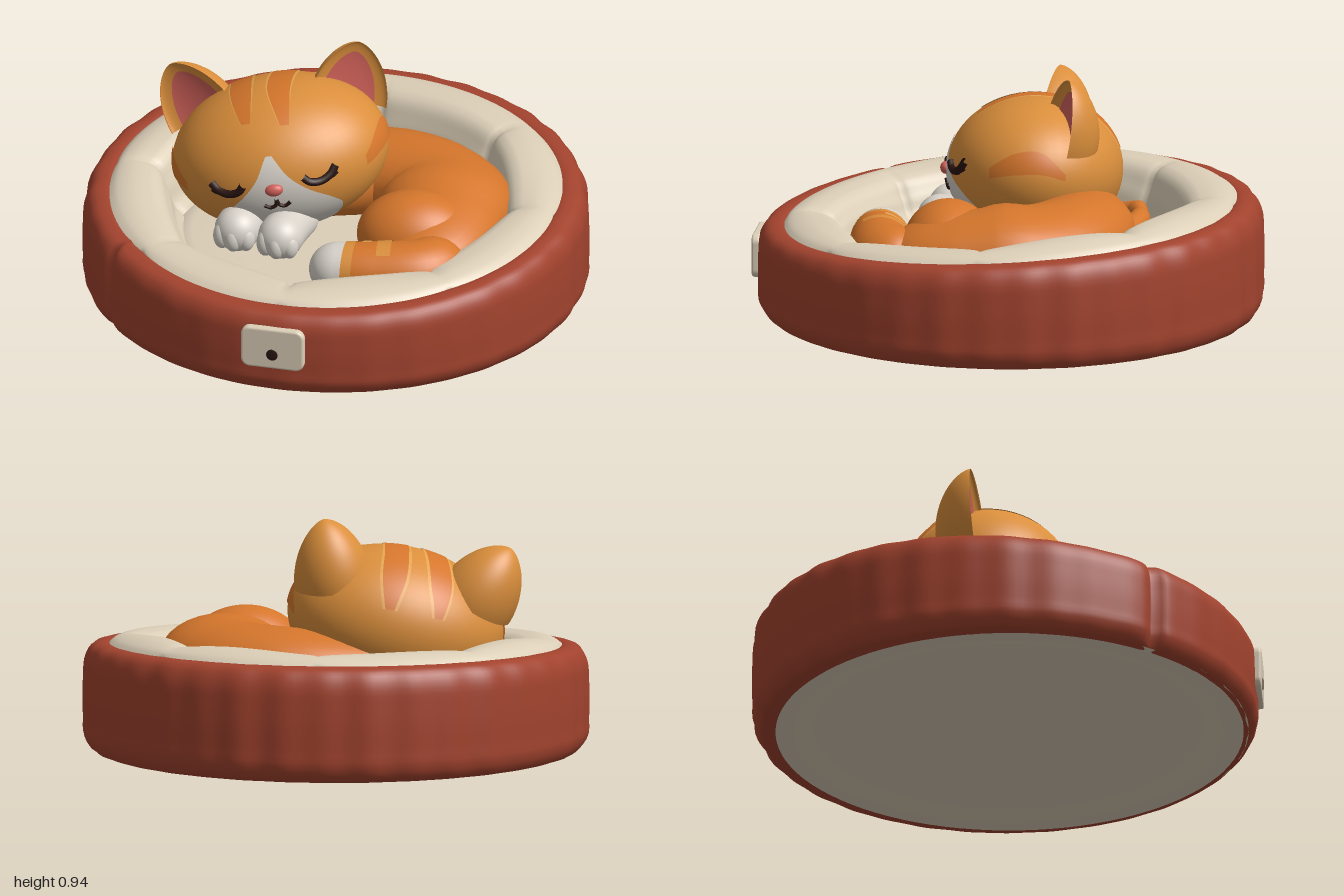
import * as THREE from 'three';

const V = (x, y, z) => new THREE.Vector3(x, y, z);
const mat = (name, color) => new THREE.MeshStandardMaterial({ name, color, side: THREE.DoubleSide });

// Smooth surface fn(u, v) -> Vector3; wrap closes it in u
function grid(fn, nu, nv, wrap = false) {
  const pos = [], idx = [], cols = wrap ? nu : nu + 1;
  for (let j = 0; j <= nv; j++)
    for (let i = 0; i < cols; i++) pos.push(...fn(i / nu, j / nv).toArray());
  for (let j = 0; j < nv; j++)
    for (let i = 0; i < nu; i++) {
      const a = j * cols + i, b = j * cols + (i + 1) % cols;
      idx.push(a, a + cols, b, b, a + cols, b + cols);
    }
  const g = new THREE.BufferGeometry();
  g.setAttribute('position', new THREE.Float32BufferAttribute(pos, 3));
  g.setIndex(idx);
  g.computeVertexNormals();
  return g;
}

// Rounded limb along [x, y, z, halfWidth, halfHeight] points; t and angle ranges cut pieces out of it
function limb(pts, { t0 = 0, t1 = 1, a0 = 0, a1 = 1, grow = 1 } = {}) {
  const curve = new THREE.CatmullRomCurve3(pts.map(p => V(p[0], p[1], p[2])));
  const size = new THREE.CatmullRomCurve3(pts.map(p => V(p[3], p[4], 0)));
  const len = curve.getLength(), full = a1 - a0 === 1;
  return grid((u, v) => {
    const t = t0 + (t1 - t0) * (1 - Math.cos(v * Math.PI)) / 2;
    const k = curve.getUtoTmapping(t), p = curve.getPoint(k), s = size.getPoint(k);
    const d = Math.min(t, 1 - t) * len, r = s.x;
    const cap = d < r ? Math.sqrt(Math.max(0, 1 - ((r - d) / r) ** 2)) : 1;
    const side = curve.getTangent(k).cross(V(0, 1, 0)).normalize();
    const a = (a0 + u * (a1 - a0)) * Math.PI * 2;
    return p.addScaledVector(side, Math.cos(a) * s.x * cap * grow)
      .add(V(0, Math.sin(a) * s.y * cap * grow, 0));
  }, full ? 32 : 16, 40, full);
}

export function createModel() {
  const model = new THREE.Group();
  const red = mat('bedRed', 0xa2432e), cream = mat('liningCream', 0xdccfb8), orange = mat('furOrange', 0xd5762c),
    light = mat('furLightOrange', 0xdb8f3c), pale = mat('furPaleStripe', 0xe2a552), white = mat('furWhite', 0xd9d3ca),
    pink = mat('earPink', 0xd2625a), dark = mat('dark', 0x2a1512);

  const add = (name, geo, m, parent = model) => {
    const mesh = new THREE.Mesh(geo, m);
    mesh.name = name;
    parent.add(mesh);
    return mesh;
  };
  const ball = (name, m, p, r, parent = model) => {
    const b = add(name, new THREE.SphereGeometry(1, 48, 32), m, parent);
    b.position.set(...p);
    b.scale.set(...r);
    return b;
  };

  // Bed: ring profiles [radius, height, share of rim height, pleat, puff], rim rising to the back
  const ring = (profile) => {
    const c = new THREE.CatmullRomCurve3(profile.map(p => V(p[0], p[1], p[2])));
    const e = new THREE.CatmullRomCurve3(profile.map(p => V(p[3], p[4], 0)));
    return grid((u, v) => {
      const a = u * Math.PI * 2, x = Math.sin(a), z = Math.cos(a);
      const p = c.getPoint(v), q = e.getPoint(v);
      const rim = 0.42 - 0.055 * z - 0.012 * z * z;
      const puff = Math.sqrt(Math.abs(Math.sin(a * 4))) * q.y;
      const seam = Math.exp(-(((a - 5.39) / 0.02) ** 2)) * 0.035;
      const pleat = (Math.sin(a * 36) * 0.004 + Math.sin(a * 23) * 0.0025) * (0.65 - 0.35 * z) - seam;
      const r = p.x * (1 - 0.012 * z) + pleat * q.x - puff;
      return V(x * r, p.y + p.z * rim + puff * (0.6 + 0.25 * Math.sin(a * 3 + 1)), z * r);
    }, 240, 36, true);
  };
  add('bedWall', ring([[0.9, 0.005, 0, 0, 0], [0.95, 0.012, 0, 0.6, 0], [0.978, 0.03, 0.04, 1, 0], [0.988, 0, 0.32, 1, 0],
    [0.988, 0, 0.65, 1, 0], [0.978, 0, 0.87, 1, 0], [0.945, 0, 0.98, 0.9, 0], [0.905, 0, 1, 0.6, 0], [0.875, 0, 0.98, 0.1, 0],
    [0.85, -0.01, 0.92, 0, 0]]), red);
  add('bedLining', ring([[0.885, -0.03, 1, 0, 0], [0.872, 0.008, 1, 0, 0], [0.82, 0.024, 1, 0, 0.015], [0.75, 0.01, 1, 0, 0.035],
    [0.69, 0.09, 0.6, 0, 0.045], [0.63, 0.23, 0, 0, 0.03], [0.58, 0.2, 0, 0, 0]]), cream);
  const lathe = pts => new THREE.LatheGeometry(pts.map(p => new THREE.Vector2(...p)), 96);
  add('cushionFloor', lathe([[0.64, 0.2], [0.61, 0.225], [0.56, 0.238], [0.4, 0.242], [0, 0.242]]), cream);
  add('bedBase', lathe([[0, 0.03], [0.2, 0.03], [0.203, 0.018], [0.55, 0.016], [0.63, 0.02], [0.68, 0.03], [0.76, 0.03],
    [0.8, 0.018], [0.83, 0.006], [0.9, 0.003], [0.94, 0.012]]), cream);

  // Fabric tag with a small snap
  const tagShape = new THREE.Shape();
  const tw = 0.117, th = 0.077, tr = 0.025;
  [[tw - tr, th - tr, 0], [tr - tw, th - tr, 1], [tr - tw, tr - th, 2], [tw - tr, tr - th, 3]].forEach(([x, y, k]) =>
    tagShape.absarc(x, y, tr, k * Math.PI / 2, (k + 1) * Math.PI / 2, false));
  add('tag', new THREE.ExtrudeGeometry(tagShape, { depth: 0.015, bevelSize: 0.01, bevelThickness: 0.01, bevelSegments: 5 }), cream)
    .position.set(0, 0.215, 0.97);
  ball('tagSnap', dark, [0, 0.19, 0.995], [0.023, 0.024, 0.004]);

  // Curled body, thigh and tail
  add('body', limb([[-0.35, 0.34, -0.14, 0.2, 0.13], [-0.1, 0.35, -0.24, 0.22, 0.15], [0.16, 0.36, -0.3, 0.22, 0.16],
    [0.38, 0.365, -0.18, 0.24, 0.16], [0.445, 0.36, 0.03, 0.24, 0.16], [0.435, 0.34, 0.24, 0.225, 0.145], [0.38, 0.33, 0.42, 0.19, 0.12]]), orange);
  ball('thigh', orange, [0.37, 0.36, 0.18], [0.23, 0.175, 0.18]).rotation.y = 0.15;
  add('tail', limb([[0.1, 0.34, -0.45, 0.055, 0.055], [-0.02, 0.35, -0.49, 0.05, 0.05], [-0.13, 0.36, -0.505, 0.042, 0.045],
    [-0.22, 0.36, -0.475, 0.042, 0.045], [-0.25, 0.35, -0.41, 0.04, 0.04], [-0.21, 0.34, -0.35, 0.04, 0.04]]), orange);

  // Hind leg with pale bands and a white paw
  const leg = [[0.53, 0.33, 0.26, 0.13, 0.12], [0.47, 0.33, 0.41, 0.13, 0.125], [0.28, 0.33, 0.465, 0.12, 0.115], [0.02, 0.325, 0.485, 0.1, 0.1]];
  add('hindLeg', limb(leg, { t1: 0.77 }), orange);
  add('hindPaw', limb(leg, { t0: 0.77 }), white);
  add('hindLegBand', limb(leg, { t0: 0.71, t1: 0.775, grow: 1.015 }), light);
  add('hindLegStripe', limb(leg, { t0: 0.48, t1: 0.57, a0: 0.02, a1: 0.34, grow: 1.02 }), light);
  add('hindLegPatch', limb(leg, { t0: 0.61, t1: 0.67, a0: -0.1, a1: 0.22, grow: 1.02 }), pale);

  // Front paws with toes
  for (const [x, z] of [[-0.33, 0.28], [-0.15, 0.3]]) {
    add('frontLeg', limb([[x + 0.04, 0.32, 0.03, 0.08, 0.07], [x + 0.01, 0.335, z - 0.1, 0.09, 0.085], [x, 0.335, z + 0.075, 0.09, 0.09]]), white);
    for (const k of [-1, 0, 1])
      ball('frontToe', white, [x + k * 0.048, 0.32, z + 0.042 - Math.abs(k) * 0.018], [0.036, 0.055, 0.04]);
  }

  // Head, turned and tilted
  const head = new THREE.Group();
  head.name = 'head';
  head.position.set(-0.24, 0.52, -0.075);
  head.rotation.set(0, 0.18, 0.2, 'YXZ');
  model.add(head);
  const R = V(0.428, 0.295, 0.345);
  ball('skull', light, [0, 0, 0], R.toArray(), head);
  const onHead = (p, grow = 1.011) => p.multiplyScalar(grow / p.clone().divide(R).length());
  const faceAt = (x, y, grow = 1.012) =>
    V(x, y, R.z * Math.sqrt(Math.max(0, 1 - (x / R.x) ** 2 - (y / R.y) ** 2))).multiplyScalar(grow);

  // Thin fur marking: centre line, width direction, half widths along it
  const marking = (name, m, line, dir, widths, grow) => {
    const c = new THREE.CatmullRomCurve3(line.map(p => V(...p)));
    const w = new THREE.CatmullRomCurve3(widths.map((h, i) => V(i, h, 0)));
    add(name, grid((u, v) => onHead(c.getPoint(v).addScaledVector(V(...dir), (u * 2 - 1) * w.getPoint(v).y), grow), 20, 36), m, head);
  };
  marking('muzzle', white, [[0, 0.135, 0.31], [0, 0.05, 0.345], [0, -0.02, 0.345], [0, -0.1, 0.325], [0, -0.18, 0.275], [0, -0.27, 0.15]],
    [1, 0, 0], [0.012, 0.065, 0.135, 0.235, 0.28, 0.16]);
  for (const [x, bend, front] of [[-0.1, -0.03, 0.2], [0.055, 0.015, 0.24]]) {
    const line = [[x + 0.025, 0.23, front], [x, 0.29, 0.06], [x + bend * 0.5, 0.28, -0.12], [x + bend, 0.2, -0.26], [x + bend, 0.08, -0.33]];
    marking('crownStripeEdge', pale, line, [1, 0, 0], [0.022, 0.05, 0.06, 0.06, 0.03], 1.007);
    marking('crownStripe', orange, line, [1, 0, 0], [0.02, 0.045, 0.049, 0.048, 0.018]);
  }
  for (const s of [-1, 1]) {
    marking('cheekStripe', orange, [[s * 0.35, 0.0, 0.19], [s * 0.4, 0.035, 0.09], [s * 0.41, 0.035, -0.01], [s * 0.4, -0.02, -0.1]],
      [0, 1, 0], [0.02, 0.042, 0.042, 0.012]);

    // Closed eye with outer lash
    const tube = (name, pts, r) => add(name, new THREE.TubeGeometry(
      new THREE.CatmullRomCurve3(pts.map(p => faceAt(s * p[0], p[1]))), 24, r, 8), dark, head);
    tube('eyelid', [[0.118, 0.035], [0.14, 0.01], [0.18, 0], [0.22, 0.014], [0.245, 0.042]], 0.016);
    tube('eyelash', [[0.2, 0.004], [0.228, 0.006], [0.246, 0.016]], 0.009);
    tube('mouth', [[0, -0.036], [0.006, -0.062], [0.028, -0.072], [0.052, -0.058]], 0.008);

    // Ear: deep rounded back, hollow pink front
    const ear = new THREE.Group();
    ear.name = s > 0 ? 'leftEar' : 'rightEar';
    ear.position.set(s * 0.285, 0.132 - s * 0.012, -0.07);
    ear.rotation.set(-0.1, s * 0.3, -s * 0.4, 'YXZ');
    head.add(ear);
    const H = 0.258, taper = t => Math.pow(Math.max(0, 1 - t ** 1.9), 0.62);
    add('earShell', grid((u, v) => {
      const a = u * Math.PI * 2, t = Math.sin(v * Math.PI / 2), k = taper(t);
      return V(0.158 * k * Math.cos(a), t * H, Math.sin(a) * k * (Math.sin(a) < 0 ? 0.17 : -0.045));
    }, 48, 24, true), light, ear);
    add('earInner', grid((u, v) => {
      const t = Math.sin(v * Math.PI / 2) * 0.83, x = (u * 2 - 1) * 0.112 * taper(t / 0.83), k = taper(t);
      return V(x, t * H, 0.006 - 0.045 * k * Math.sqrt(Math.max(0, 1 - (x / (0.158 * k)) ** 2)));
    }, 20, 20), pink, ear);
  }
  ball('nose', pink, faceAt(0, 0.005).toArray(), [0.036, 0.025, 0.022], head);

  return model;
}
